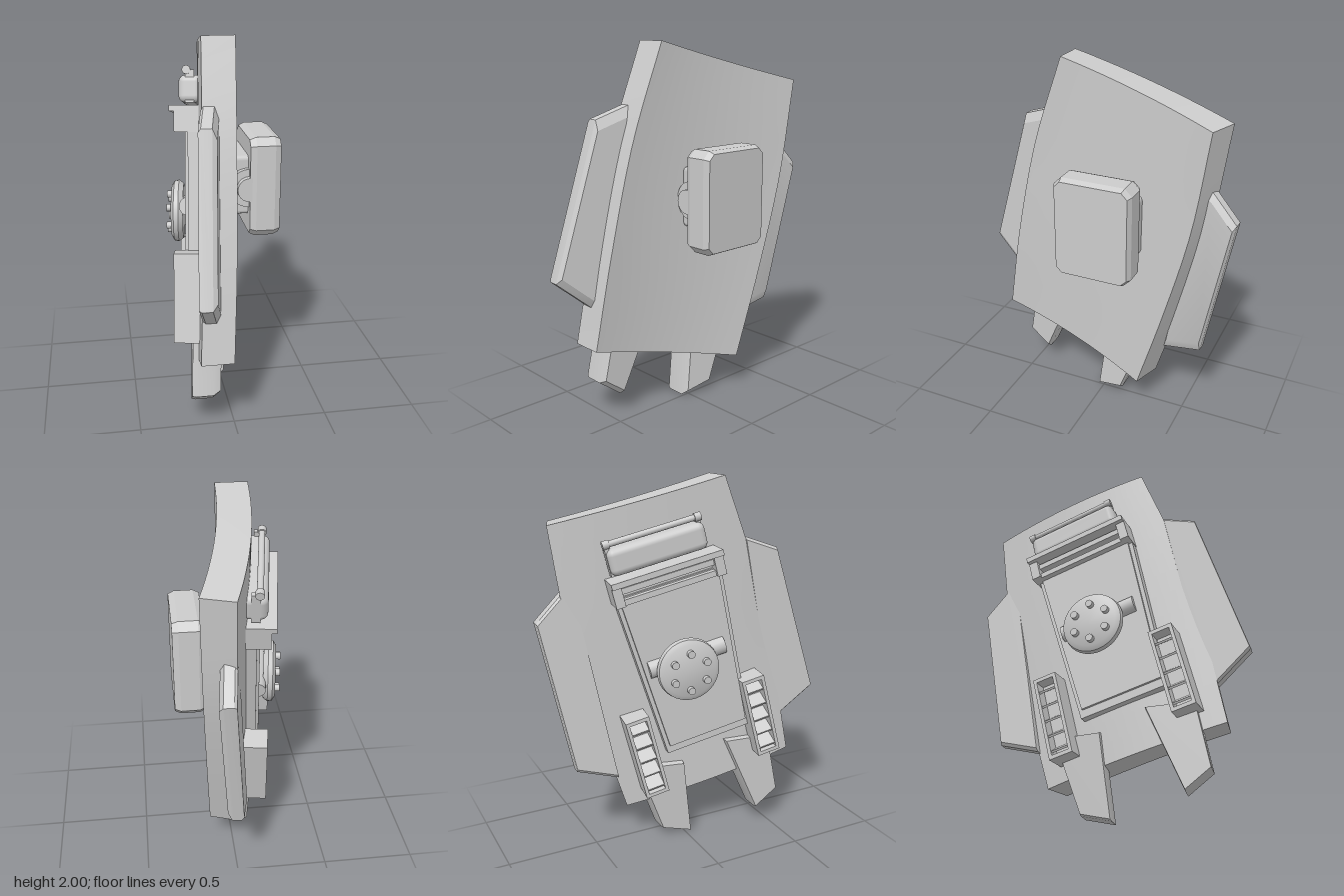
import * as THREE from 'three';
import { toCreasedNormals } from 'three/addons/utils/BufferGeometryUtils.js';
import { RoundedBoxGeometry } from 'three/addons/geometries/RoundedBoxGeometry.js';

const V = (x, y, z) => new THREE.Vector3(x, y, z);
const grey = new THREE.MeshStandardMaterial({ color: 0xcccccc });
grey.name = 'light grey';

function add(parent, name, geometry, x = 0, y = 0, z = 0) {
  const mesh = new THREE.Mesh(geometry, grey);
  mesh.name = name;
  mesh.position.set(x, y, z);
  parent.add(mesh);
  return mesh;
}

// Closed skin through equal rings of points, with strip caps at both ends
function loft(rings) {
  const n = rings[0].length, last = rings.length - 1, pos = [];
  const tri = (...pts) => pts.forEach(p => pos.push(p.x, p.y, p.z));
  const quad = (a, b, c, d) => { tri(a, b, c); tri(a, c, d); };
  for (let j = 0; j < last; j++) {
    for (let i = 0; i < n; i++) {
      const k = (i + 1) % n;
      quad(rings[j][i], rings[j][k], rings[j + 1][k], rings[j + 1][i]);
    }
  }
  const top = rings[last], low = rings[0];
  for (let a = 0; a + 1 <= n - 2 - a; a++) {
    const b = a + 1, c = n - 2 - a, d = n - 1 - a;
    if (b !== c) { tri(top[a], top[b], top[c]); tri(low[a], low[c], low[b]); }
    tri(top[a], top[c], top[d]);
    tri(low[a], low[d], low[c]);
  }
  const g = new THREE.BufferGeometry();
  g.setAttribute('position', new THREE.Float32BufferAttribute(pos, 3));
  return toCreasedNormals(g, 0.4);
}

// Curved shield panel: arcs swept between a bowed front and a bowed rear edge
function panelGeometry() {
  const front = new THREE.CatmullRomCurve3([
    V(-0.022, 0.43, 0.63), V(0.003, 0.943, 0.535), V(0.022, 1.51, 0.397), V(0.043, 2, 0.22)]);
  const rear = new THREE.CatmullRomCurve3([
    V(0.133, 0.2, -0.265), V(0.16, 0.705, -0.415), V(0.183, 1.235, -0.55), V(0.198, 1.78, -0.632)]);
  const rows = 14, cols = 14, sweep = 0.34, thick = 0.17, rings = [];
  for (let j = 0; j <= rows; j++) {
    const f = front.getPoint(j / rows), r = rear.getPoint(j / rows);
    const inner = [], outer = [];
    for (let i = 0; i <= cols; i++) {
      const u = i / cols, a = sweep * u;
      const p = f.clone().lerp(r, u);
      p.x -= 0.037 * 4 * u * (1 - u);
      inner.push(p);
      outer.unshift(V(p.x - thick * Math.cos(a), p.y, p.z - thick * Math.sin(a)));
    }
    rings.push([...inner, ...outer]);
  }
  return loft(rings);
}

// Thick plate from a [z, y] outline, chamfered lightly outside and more on its inner (+x) side
function plateGeometry(outline, xAt, thick, angle, inset) {
  const c = outline.reduce((s, p) => [s[0] + p[0] / outline.length, s[1] + p[1] / outline.length], [0, 0]);
  const ring = (depth, scale) => outline.map(([z, y]) => {
    const zz = c[0] + (z - c[0]) * scale, yy = c[1] + (y - c[1]) * scale;
    return V(xAt(yy, zz) + depth * Math.cos(angle), yy, zz + depth * Math.sin(angle));
  });
  return loft([ring(0, 0.97), ring(thick * 0.15, 1), ring(thick * 0.75, 1), ring(thick, inset)]);
}

function rod(parent, name, r, length, x, y, z) {
  const g = new THREE.CylinderGeometry(r, r, length, 20);
  g.rotateZ(Math.PI / 2);
  return add(parent, name, g, x, y, z);
}

// Box given by its low and high corners
function box(parent, name, a, b) {
  return add(parent, name, new THREE.BoxGeometry(b[0] - a[0], b[1] - a[1], b[2] - a[2]),
    (a[0] + b[0]) / 2, (a[1] + b[1]) / 2, (a[2] + b[2]) / 2);
}

// Equipment on the outer face; local x runs forward, y up the panel, z outward
function buildOuterGear() {
  const gear = new THREE.Group();
  gear.name = 'outerGear';
  const up = V(0.04, 0.97, -0.24).normalize();
  const out = V(-0.988, 0, -0.164).normalize();
  const along = up.clone().cross(out).normalize();
  up.copy(out).cross(along);
  gear.applyMatrix4(new THREE.Matrix4().makeBasis(along, up, out).setPosition(-0.11, 1.1, -0.04));

  // Tapered backing plate with a raised centre
  const plate = (name, s, depth) => {
    const shape = new THREE.Shape([[-0.21, -0.54], [0.28, -0.54], [0.32, 0.42], [-0.27, 0.42]]
      .map(([x, y]) => new THREE.Vector2(0.03 + (x - 0.03) * s, y * s)));
    add(gear, name, new THREE.ExtrudeGeometry(shape, { depth: depth + 0.05, bevelEnabled: false }), 0, 0, -0.05);
  };
  plate('backingPlate', 1, 0.045);
  plate('raisedPlate', 0.92, 0.06);

  // Bracket below the canister
  box(gear, 'bracketFlange', [-0.28, 0.455, -0.03], [0.32, 0.485, 0.14]);
  for (const x of [-0.28, 0.27]) box(gear, 'bracketEnd', [x, 0.35, -0.03], [x + 0.05, 0.455, 0.115]);
  for (const y of [0.35, 0.41]) box(gear, 'bracketRail', [-0.25, y, 0], [0.29, y + 0.03, 0.095]);

  // Canister with its carrying rod
  add(gear, 'canister', new RoundedBoxGeometry(0.52, 0.14, 0.12, 3, 0.035), 0.01, 0.57, 0.035);
  rod(gear, 'canisterRod', 0.016, 0.5, 0, 0.665, 0.055);
  for (const x of [-0.24, 0.25]) {
    rod(gear, 'rodEnd', 0.022, 0.035, x, 0.665, 0.055);
    box(gear, 'rodArm', [x - 0.012, 0.5, 0.015], [x + 0.012, 0.665, 0.06]);
  }

  // Round hub with a ring of studs on a cross bar
  rod(gear, 'crossBar', 0.05, 0.43, 0.02, -0.035, 0.045);
  const hub = new THREE.LatheGeometry([[0, 0], [0.15, 0], [0.17, 0.025], [0.165, 0.05], [0.14, 0.065], [0, 0.065]]
    .map(p => new THREE.Vector2(...p)), 36);
  hub.rotateX(Math.PI / 2);
  add(gear, 'hub', toCreasedNormals(hub, 0.7), 0, -0.08, 0.08);
  for (let i = 0; i < 6; i++) {
    const a = i * Math.PI / 3 + 0.3;
    const stud = new THREE.CylinderGeometry(0.02, 0.02, 0.04, 14);
    stud.rotateX(Math.PI / 2);
    add(gear, 'hubStud', stud, 0.1 * Math.cos(a), -0.085 + 0.1 * Math.sin(a), 0.15);
  }

  // Louvred vent boxes on both sides
  for (const side of [-1, 1]) {
    const vent = new THREE.Group();
    vent.name = 'vent';
    vent.position.set(side * 0.335, -0.49, -0.012);
    gear.add(vent);
    box(vent, 'ventBase', [-0.065, -0.23, -0.07], [0.065, 0.23, 0.05]);
    for (const x of [-0.065, 0.047]) box(vent, 'ventWall', [x, -0.23, 0.05], [x + 0.018, 0.23, 0.125]);
    for (const y of [-0.23, 0.21]) box(vent, 'ventEnd', [-0.065, y, 0.05], [0.065, y + 0.02, 0.125]);
    for (let i = 0; i < 5; i++) {
      const slat = add(vent, 'ventSlat', new THREE.BoxGeometry(0.1, 0.012, 0.085), 0, -0.17 + i * 0.085, 0.08);
      slat.rotation.x = 0.5;
    }
  }
  return gear;
}

// Handle block on the inner face, with its joint
function buildMount() {
  const mount = new THREE.Group();
  mount.name = 'mount';
  const w = 0.2, h = 0.26, c = 0.032;
  const shape = new THREE.Shape([[-w + c, -h], [w - c, -h], [w, -h + c], [w, h - c],
    [w - c, h], [-w + c, h], [-w, h - c], [-w, -h + c]].map(p => new THREE.Vector2(...p)));
  const block = new THREE.ExtrudeGeometry(shape,
    { depth: 0.1, bevelThickness: 0.032, bevelSize: 0.014, bevelSegments: 1 });
  block.rotateY(Math.PI / 2);
  add(mount, 'mountBlock', block, 0.175, 1.185, -0.06);
  add(mount, 'mountBase', new RoundedBoxGeometry(0.16, 0.33, 0.34, 1, 0.025), 0.115, 1.185, -0.09);
  for (const [r, end] of [[0.105, 0.11], [0.065, 0.145]]) {
    const joint = new THREE.CylinderGeometry(r, r, end + 0.2, 28);
    joint.rotateX(Math.PI / 2);
    add(mount, 'mountJoint', joint, 0.14, 1.18, (end - 0.2) / 2);
  }
  return mount;
}

export function createModel() {
  const model = new THREE.Group();
  model.name = 'shield';
  add(model, 'panel', panelGeometry());

  // Side flaps, following the panel's curve past its edges
  add(model, 'frontFlap', plateGeometry(
    [[0.34, 1.68], [0.52, 1.615], [0.77, 0.80], [0.59, 0.645], [0.54, 0.65]],
    (y, z) => -0.22 - 0.025 * (y - 0.8) - 0.22 * (z - 0.77), 0.09, 0.05, 0.9));
  add(model, 'rearFlap', plateGeometry(
    [[-0.376, 0.397], [-0.60, 0.46], [-0.763, 1.287], [-0.63, 1.43], [-0.575, 1.46]],
    (y, z) => 0.045 + 0.04 * (y - 1.287) - 0.19 * (z + 0.763), 0.085, 0.05, 0.9));

  // Lower legs
  add(model, 'frontLeg', plateGeometry(
    [[0.22, 0.55], [0.48, 0.55], [0.546, 0.20], [0.413, 0.10]],
    (y, z) => -0.23 + 0.03 * (y - 0.2) - 0.1 * (z - 0.546), 0.15, 0, 0.88));
  add(model, 'rearLeg', plateGeometry(
    [[-0.28, 0.45], [-0.02, 0.45], [0.035, 0], [-0.13, 0.04]],
    (y, z) => -0.13 - 0.06 * y - 0.2 * (z - 0.035), 0.15, 0, 0.88));

  model.add(buildMount(), buildOuterGear());
  return model;
}
